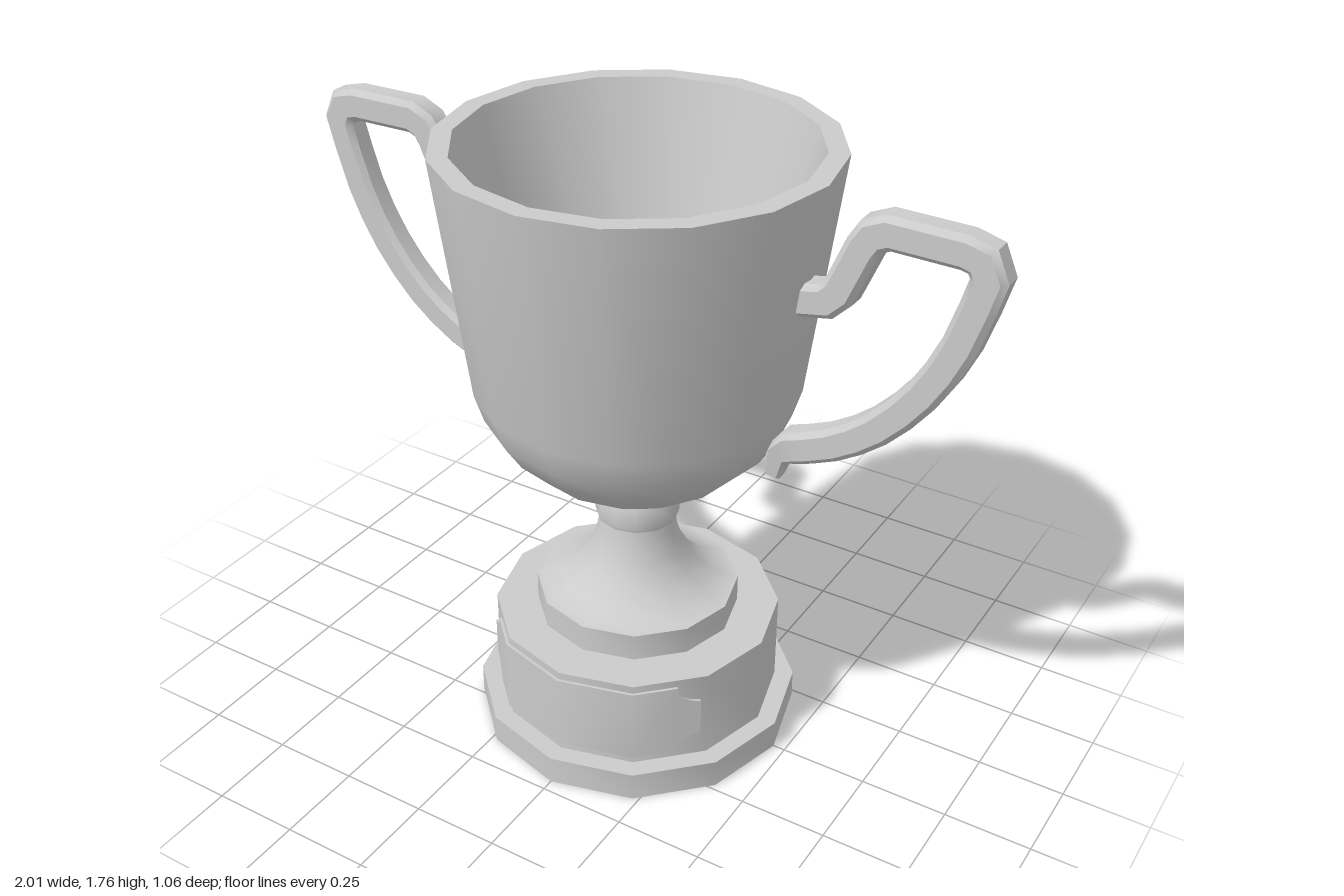
import * as THREE from 'three';
import { toCreasedNormals } from 'three/addons/utils/BufferGeometryUtils.js';

// Double-sided because the base is an open shell
const material = new THREE.MeshStandardMaterial({ color: 0xcccccc, side: THREE.DoubleSide });
const CREASE = 0.65;

function addMesh(group, name, geometry) {
  const mesh = new THREE.Mesh(toCreasedNormals(geometry, CREASE), material);
  mesh.name = name;
  group.add(mesh);
}

// Revolves a list of [radius, height] pairs
function turned(profile, sides) {
  return new THREE.LatheGeometry(profile.map(([r, y]) => new THREE.Vector2(r, y)), sides);
}

// Skins a row of equal cross-sections and caps both ends
function loft(rings) {
  const n = rings[0].length;
  const last = (rings.length - 1) * n;
  const index = [];
  for (let i = 0; i < rings.length - 1; i++) {
    for (let j = 0; j < n; j++) {
      const k = (j + 1) % n;
      const a = i * n + j, b = i * n + k;
      index.push(a, b, a + n, b, b + n, a + n);
    }
  }
  for (let j = 1; j < n - 1; j++) {
    index.push(0, j + 1, j, last, last + j, last + j + 1);
  }
  const geometry = new THREE.BufferGeometry();
  geometry.setAttribute('position', new THREE.Float32BufferAttribute(rings.flat(2), 3));
  geometry.setIndex(index);
  return geometry;
}

// Bevelled bar swept along a mitred centre line; side is +1 or -1
function handle(side) {
  const toPoints = (list) => list.map(([x, y]) => new THREE.Vector2(x * side, y));
  const arm = toPoints([
    [0.465, 1.46], [0.55, 1.477], [0.583, 1.51], [0.637, 1.64], [0.66, 1.677],
    [0.70, 1.695], [0.89, 1.692], [0.935, 1.68],
  ]);
  const bow = new THREE.SplineCurve(toPoints([
    [0.955, 1.635], [0.90, 1.45], [0.82, 1.295], [0.71, 1.165], [0.59, 1.08], [0.475, 1.033],
  ])).getPoints(10);
  const hook = toPoints([[0.437, 1.0], [0.423, 0.928]]);
  const path = [...arm, ...bow, ...hook];
  const section = [
    [0.045, -0.025], [0.045, 0.025], [0.03, 0.04], [-0.03, 0.04],
    [-0.045, 0.025], [-0.045, -0.025], [-0.03, -0.04], [0.03, -0.04],
  ];
  const end = path.length - 1;
  const rings = path.map((p, i) => {
    const before = p.clone().sub(path[Math.max(i - 1, 0)]).normalize();
    const after = path[Math.min(i + 1, end)].clone().sub(p).normalize();
    const t = before.clone().add(after).normalize();
    const mitre = 1 / Math.max(t.dot(i < end ? after : before), 0.7);
    const scale = i === end ? 0.5 : i === end - 1 ? 0.75 : 1;
    return section.map(([n, z]) => [
      p.x - t.y * n * mitre * scale, p.y + t.x * n * mitre * scale, z * scale,
    ]);
  });
  return loft(rings);
}

// Thin plate with scooped corners, bent around the plinth's front facets
function plaque() {
  const R = 0.42, middle = 0.222, back = 0.98;
  const half = [[0, 0.112], [R / 2, 0.112], [0.30, 0.112], [0.303, 0.092],
    [0.313, 0.074], [0.328, 0.062], [0.347, 0.057]];
  const columns = [...half.slice(1).reverse().map(([x, h]) => [-x, h]), ...half];
  const corner = R * Math.cos(Math.PI / 6);
  const depth = (x) => {
    const ax = Math.abs(x);
    if (ax <= R / 2) return R + (corner - R) * (ax / (R / 2));
    return corner - (ax - R / 2);
  };
  return loft(columns.map(([x, h]) => {
    const z = depth(x);
    return [
      [x * back, middle - h, z * back], [x * back, middle + h, z * back],
      [x, middle + h, z], [x, middle - h, z],
    ];
  }));
}

export function createModel() {
  const trophy = new THREE.Group();
  trophy.name = 'trophy';

  // Hollow foot and plinth, open underneath
  addMesh(trophy, 'foot', turned([[0.465, 0], [0.465, 0.085], [0.41, 0.085]], 12));
  addMesh(trophy, 'plinth', turned([[0.41, 0.085], [0.41, 0.355], [0.29, 0.355]], 12));
  addMesh(trophy, 'plaque', plaque());

  // Stepped, flared stem and its collar
  addMesh(trophy, 'stem', turned([
    [0.29, 0.355], [0.29, 0.435], [0.27, 0.437], [0.215, 0.46], [0.165, 0.505],
    [0.132, 0.56], [0.113, 0.62], [0.105, 0.665]], 12));
  addMesh(trophy, 'collar', turned([
    [0.103, 0.657], [0.116, 0.66], [0.119, 0.672], [0.115, 0.725],
    [0.108, 0.74], [0, 0.742]], 12));

  // Cup: outer bowl, rim, straight inner wall and floor
  addMesh(trophy, 'cup', turned([
    [0, 0.74], [0.10, 0.742], [0.20, 0.795], [0.295, 0.86], [0.375, 0.94], [0.42, 1.01],
    [0.445, 1.09], [0.53, 1.765], [0.475, 1.765], [0.26, 0.92], [0, 0.92]], 16));

  for (const side of [1, -1]) {
    addMesh(trophy, side > 0 ? 'leftHandle' : 'rightHandle', handle(side));
  }
  return trophy;
}
